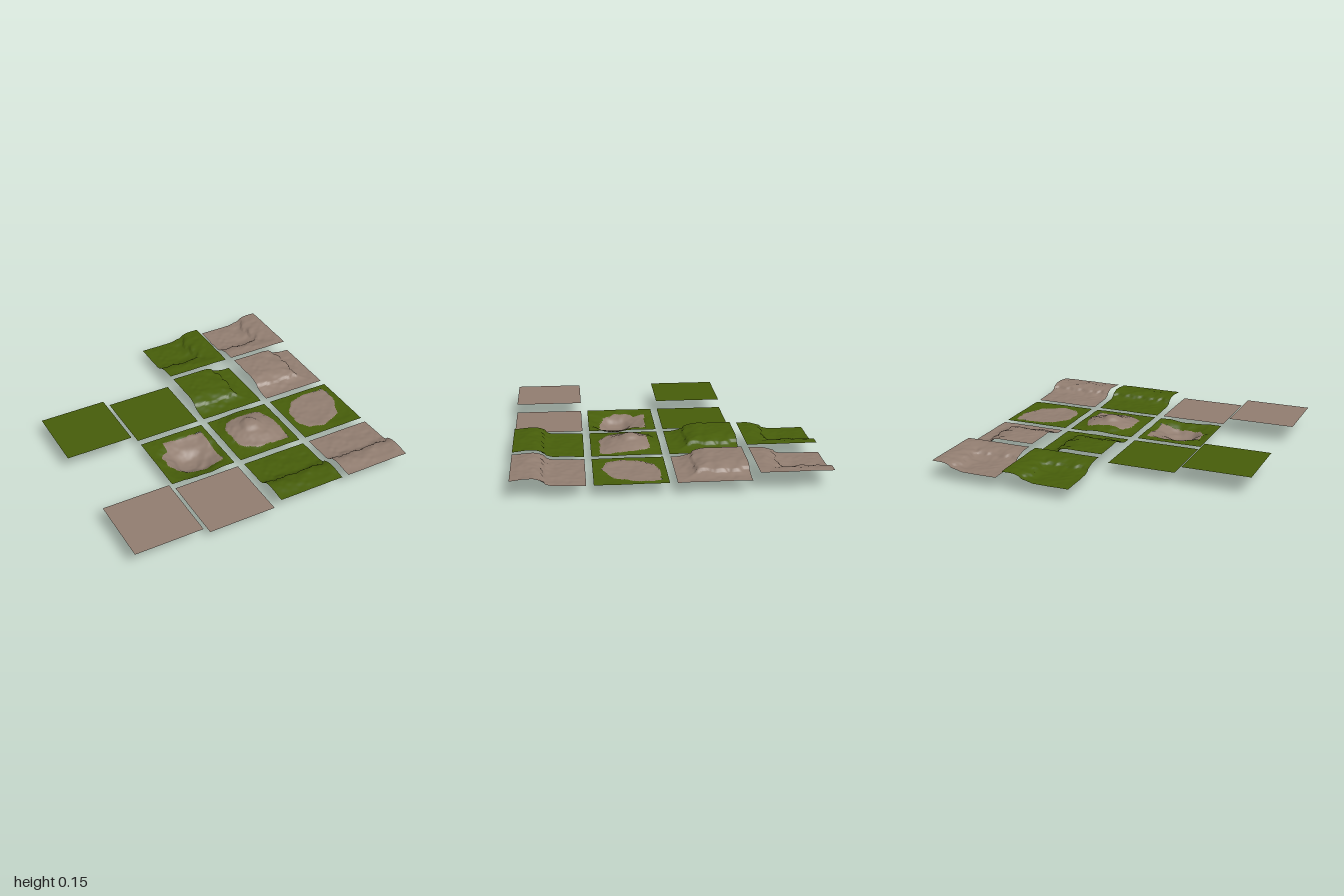
import * as THREE from 'three';

const SIZE = 0.465, HALF = SIZE / 2, CELLS = 56;
const BASE = 0.082, RISE = 0.053;
const GRID = [-0.7675, -0.2565, 0.2565, 0.7675];

const smooth = THREE.MathUtils.smoothstep;

// Seeded value noise in the range -1..1
function hash(i, j) {
  const s = Math.sin(i * 127.1 + j * 311.7 + 4.2) * 43758.5453;
  return (s - Math.floor(s)) * 2 - 1;
}
function noise(x, z) {
  const i = Math.floor(x), j = Math.floor(z);
  const u = smooth(x - i, 0, 1), v = smooth(z - j, 0, 1);
  const a = hash(i, j) * (1 - u) + hash(i + 1, j) * u;
  const b = hash(i, j + 1) * (1 - u) + hash(i + 1, j + 1) * u;
  return a * (1 - v) + b * v;
}

// Rough surface that calms towards the tile border
function rough(x, z) {
  const border = smooth(HALF - Math.max(Math.abs(x), Math.abs(z)), 0, 0.06);
  return (noise(x * 14, z * 14) * 0.004 + noise(x * 33, z * 33) * 0.0025) * (0.3 + 0.7 * border);
}

// Slope from 0 to 1 with a broken ledge part of the way up
function ramp(t, from, to, x, z) {
  const shifted = t + noise(x * 20 + 9, z * 20) * 0.014;
  const ledge = (from + to) / 2 + noise(x * 30, z * 30 + 5) * 0.022;
  return 0.78 * smooth(shifted, from, to) + 0.22 * smooth(t, ledge - 0.006, ledge + 0.006);
}

// Interpolation through [distance, height] pairs
function profile(points, r) {
  for (let i = 1; i < points.length; i++) {
    const [r0, h0] = points[i - 1], [r1, h1] = points[i];
    if (r <= r1) return h0 + (h1 - h0) * (r - r0) / (r1 - r0);
  }
  return points[points.length - 1][1];
}

// Height rules, in tile coordinates
const PIT = [[0, 0], [0.04, 0.007], [0.08, 0.022], [0.12, 0.044], [0.17, 0.063], [0.23, BASE]];
const MOUND = [[0, 0.155], [0.04, 0.148], [0.075, 0.126], [0.13, 0.112], [0.18, 0.094], [0.23, BASE]];
function round(points, cx, cz, x, z) {
  const r = Math.hypot(x - cx, z - cz), calm = smooth(r, 0, 0.08);
  const wobble = noise(x * 16, z * 16) * 0.016 * calm;
  return Math.max(0, profile(points, Math.max(0, r + wobble)) + rough(x, z) * calm);
}
const heights = {
  straight: (x, z) => BASE + 0.005 * smooth(z, -HALF, -0.02) + 0.05 * ramp(z, -0.04, 0.1, x, z)
    - 0.009 * smooth(z, 0.12, HALF) + rough(x, z),
  outer: (x, z) => BASE + RISE * Math.min(ramp(-x, -0.2, 0, x, z), ramp(-z, -0.2, 0, x, z)) + rough(x, z),
  inner: (x, z) => BASE + (RISE - 0.004) * Math.max(ramp(x, 0, 0.17, x, z), ramp(z, 0, 0.17, x, z)) + rough(x, z),
  pit: (x, z) => round(PIT, 0.007, 0.043, x, z),
  mound: (x, z) => round(MOUND, 0, -0.037, x, z),
  level: (x, z) => BASE + rough(x, z) * 0.8,
};

// Openings in the grass of the patch tiles
const outlines = {
  pit: [[-0.1, -0.1], [-0.1, -0.17], [0.19, -0.165], [0.19, 0.15], [0, 0.155], [-0.11, 0.12], [-0.16, 0.04], [-0.165, -0.06]],
  mound: [[-0.175, -0.075], [-0.13, -0.145], [0.14, -0.16], [0.18, -0.05], [0.19, 0.07], [0.18, 0.175], [-0.06, 0.17], [-0.16, 0.1]],
  level: [[-0.19, 0.07], [-0.18, -0.065], [-0.1, -0.155], [0.015, -0.19], [0.187, -0.187], [0.187, -0.05], [0.12, 0.1], [-0.03, 0.175], [-0.145, 0.14]],
};
function inside(poly, px, pz) {
  const x = px + noise(px * 30, pz * 30) * 0.005, z = pz + noise(px * 30 + 7, pz * 30) * 0.005;
  let hit = false;
  for (let i = 0, j = poly.length - 1; i < poly.length; j = i++) {
    const [xi, zi] = poly[i], [xj, zj] = poly[j];
    if ((zi > z) !== (zj > z) && x < (xj - xi) * (z - zi) / (zj - zi) + xi) hit = !hit;
  }
  return hit;
}

// Terrain sheet made of the cells whose centre passes the keep test
function terrain(height, keep = () => true) {
  const geo = new THREE.PlaneGeometry(SIZE, SIZE, CELLS, CELLS).rotateX(-Math.PI / 2);
  const p = geo.attributes.position, index = geo.index.array, kept = [];
  for (let i = 0; i < p.count; i++) p.setY(i, height(p.getX(i), p.getZ(i)));
  geo.computeVertexNormals();
  for (let k = 0; k < index.length; k += 3) {
    const tri = [index[k], index[k + 1], index[k + 2]];
    const x = tri.reduce((sum, i) => sum + p.getX(i) / 3, 0);
    const z = tri.reduce((sum, i) => sum + p.getZ(i) / 3, 0);
    if (keep(x, z)) kept.push(...tri);
  }
  geo.setIndex(kept);
  return geo;
}

export function createModel() {
  const model = new THREE.Group();
  model.name = 'terrainTiles';
  const material = (name, color) => {
    const m = new THREE.MeshStandardMaterial({ color, side: THREE.DoubleSide });
    m.name = name;
    return m;
  };
  const grass = material('grass', 0x475e0a);
  const earth = material('earth', 0x927e71);

  const add = (name, geo, mat, col, row, y = 0) => {
    const mesh = new THREE.Mesh(geo, mat);
    mesh.name = name;
    mesh.position.set(GRID[col], y, GRID[row]);
    model.add(mesh);
  };

  // Flat tiles: the outer column is raised to the upper level
  const flat = new THREE.PlaneGeometry(SIZE, SIZE).rotateX(-Math.PI / 2);
  [['upper', BASE + 0.046], ['lower', BASE]].forEach(([level, y], col) => {
    add(level + 'FlatGrassTile', flat, grass, col, 1, y);
    add(level + 'FlatEarthTile', flat, earth, col, 3, y);
  });

  // Slope tiles, one in grass and one in earth
  for (const [kind, row] of [['inner', 0], ['outer', 1], ['straight', 3]]) {
    const geo = terrain(heights[kind]);
    add(kind + 'SlopeGrassTile', geo, grass, 2, row);
    add(kind + 'SlopeEarthTile', geo, earth, 3, row);
  }

  // Patch tiles: a round sheet of earth tucked under a grass frame
  ['pit', 'mound', 'level'].forEach((kind, i) => {
    const height = heights[kind], open = (x, z) => inside(outlines[kind], x, z);
    const tucked = (x, z) => Math.max(0, height(x, z) - (open(x, z) ? 0 : 0.003));
    const disc = (x, z) => open(x, z) || Math.hypot(x, z) < 0.222;
    add(kind + 'GrassFrame', terrain(height, (x, z) => !open(x, z)), grass, i + 1, 2);
    add(kind + 'EarthPatch', terrain(tucked, disc), earth, i + 1, 2);
  });
  return model;
}
